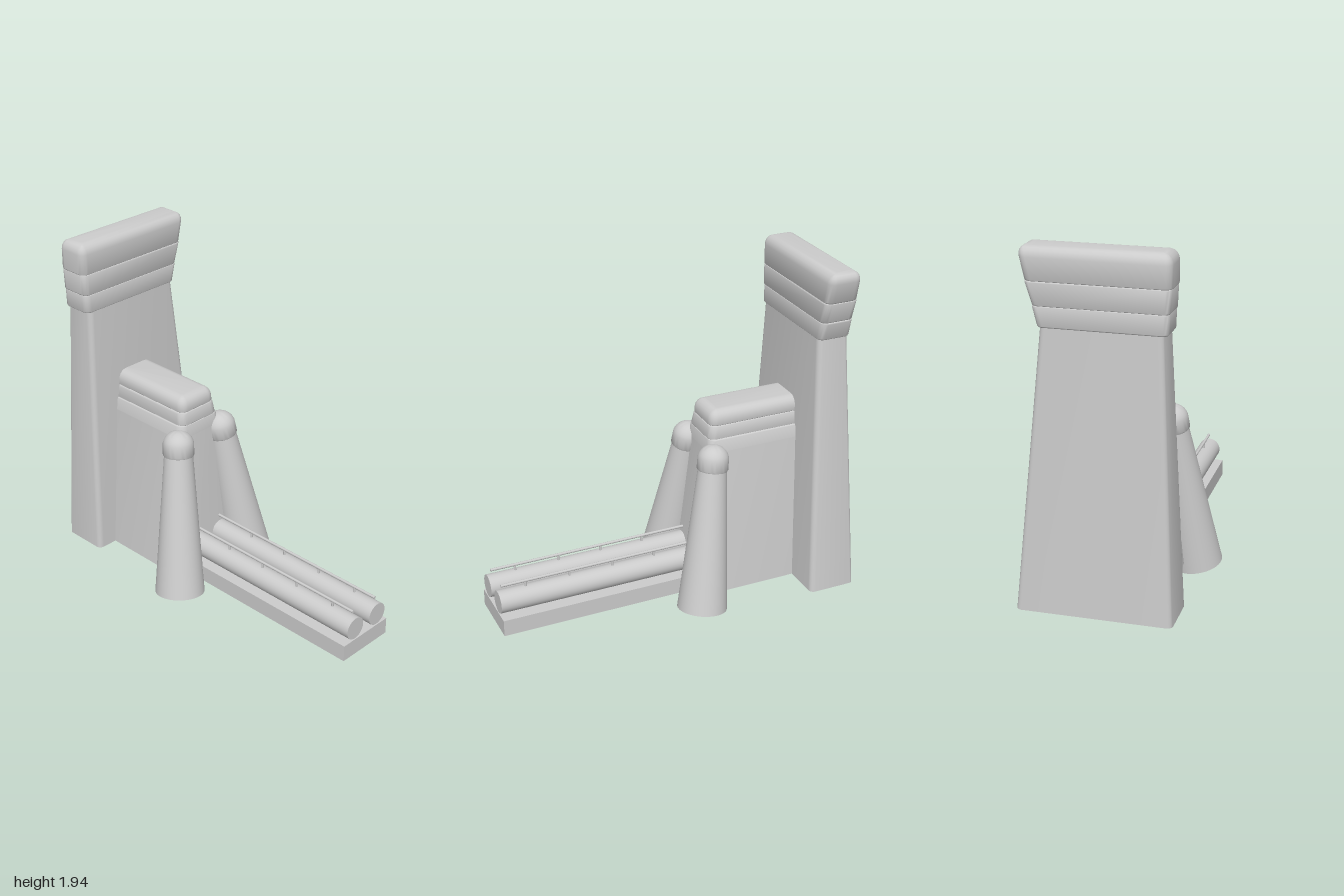
import * as THREE from 'three';
import { toCreasedNormals } from 'three/addons/utils/BufferGeometryUtils.js';

const material = new THREE.MeshStandardMaterial({ color: 0xcccccc });
const MID = -0.0225; // centre line of the keep, pillars and barrels

function add(parent, name, geometry) {
  const mesh = new THREE.Mesh(geometry, material);
  mesh.name = name;
  parent.add(mesh);
  return mesh;
}

// Outline of a rounded rectangle in x and z
function outline([x0, x1, z0, z1], r, steps = 5) {
  const points = [];
  const corners = [[x1 - r, z1 - r], [x0 + r, z1 - r], [x0 + r, z0 + r], [x1 - r, z0 + r]];
  corners.forEach(([cx, cz], k) => {
    for (let i = 0; i <= steps; i++) {
      const a = (k + i / steps) * Math.PI / 2;
      points.push([cx + r * Math.cos(a), cz + r * Math.sin(a)]);
    }
  });
  return points;
}

// Closed solid through rows of { y, rect: [x0, x1, z0, z1], r }
function loft(rows) {
  const pos = [], index = [];
  const rings = rows.map((row) => outline(row.rect, row.r));
  const n = rings[0].length;
  rings.forEach((ring, j) => ring.forEach(([x, z]) => pos.push(x, rows[j].y, z)));
  for (let j = 0; j < rows.length - 1; j++) {
    for (let i = 0; i < n; i++) {
      const a = j * n + i, b = j * n + (i + 1) % n;
      index.push(a, a + n, b, b, a + n, b + n);
    }
  }
  const last = (rows.length - 1) * n;
  for (let i = 1; i < n - 1; i++) {
    index.push(0, i, i + 1, last, last + i + 1, last + i);
  }
  const g = new THREE.BufferGeometry();
  g.setAttribute('position', new THREE.Float32BufferAttribute(pos, 3));
  g.setIndex(index);
  return toCreasedNormals(g, 0.6);
}

// Tapered block with rounded lower and upper rims
function block(y0, y1, low, high, r, rimLow, rimHigh) {
  const rows = [];
  const row = (y, inset) => {
    const t = (y - y0) / (y1 - y0);
    const rect = low.map((v, i) => v + (high[i] - v) * t + (i % 2 ? -inset : inset));
    rows.push({ y, rect, r: Math.max(r - inset, 0.004) });
  };
  const steps = 5;
  for (let i = 0; i < steps && rimLow; i++) {
    const a = i / steps * Math.PI / 2;
    row(y0 + rimLow * (1 - Math.cos(a)), rimLow * (1 - Math.sin(a)));
  }
  row(y0 + rimLow, 0);
  row(y1 - rimHigh, 0);
  for (let i = 1; i <= steps && rimHigh; i++) {
    const a = i / steps * Math.PI / 2;
    row(y1 - rimHigh * (1 - Math.sin(a)), rimHigh * (1 - Math.cos(a)));
  }
  return loft(rows);
}

export function createModel() {
  const model = new THREE.Group();
  model.name = 'fortress';

  // Tall rear tower with a three-band crown that flares to its left
  const tower = new THREE.Group();
  tower.name = 'tower';
  model.add(tower);
  add(tower, 'towerBody', block(0.065, 1.6, [-0.38, 0.436, -1, -0.722], [-0.32, 0.287, -0.95, -0.772], 0.03, 0, 0));
  const zs = [-0.957, -0.767];
  add(tower, 'crownLowerBand', block(1.545, 1.655, [-0.343, 0.305, ...zs], [-0.347, 0.333, ...zs], 0.035, 0.012, 0.012));
  add(tower, 'crownMiddleBand', block(1.65, 1.772, [-0.35, 0.328, ...zs], [-0.356, 0.367, ...zs], 0.035, 0.008, 0.008));
  add(tower, 'crownTop', block(1.77, 1.94, [-0.36, 0.365, ...zs], [-0.36, 0.403, ...zs], 0.04, 0.008, 0.055));

  // Keep in front of the tower
  const keep = new THREE.Group();
  keep.name = 'keep';
  model.add(keep);
  const rect = (half, front) => [MID - half, MID + half, -0.82, front];
  add(keep, 'keepBody', block(0.065, 0.91, rect(0.237, -0.148), rect(0.155, -0.223), 0.045, 0, 0));
  add(keep, 'keepShoulder', block(0.91, 0.985, rect(0.155, -0.223), rect(0.143, -0.229), 0.045, 0, 0.012));
  add(keep, 'keepMiddleBand', block(0.98, 1.06, rect(0.138, -0.228), rect(0.126, -0.24), 0.045, 0.008, 0.015));
  add(keep, 'keepTop', block(1.055, 1.14, rect(0.125, -0.24), rect(0.12, -0.246), 0.045, 0.008, 0.05));

  // Leaning round pillars with domed caps
  const shaftProfile = [[0, 0], [0.14, 0], [0.079, 0.83], [0, 0.83]];
  const capProfile = [[0, 0.812], [0.082, 0.812], [0.087, 0.82], [0.086, 0.885]];
  for (let i = 1; i <= 8; i++) {
    const a = i / 8 * Math.PI / 2;
    capProfile.push([0.018 * (1 - i / 8) + 0.068 * Math.cos(a), 0.885 + 0.07 * Math.sin(a)]);
  }
  const turned = (profile) => toCreasedNormals(
    new THREE.LatheGeometry(profile.map(([x, y]) => new THREE.Vector2(Math.max(x, 0), y)), 40), 0.6);
  const up = new THREE.Vector3(0, 1, 0);
  for (const side of [1, -1]) {
    const pillar = new THREE.Group();
    pillar.name = side > 0 ? 'leftPillar' : 'rightPillar';
    add(pillar, 'pillarShaft', turned(shaftProfile));
    add(pillar, 'pillarCap', turned(capProfile));
    pillar.position.set(MID + side * 0.278, 0.025, -0.126);
    pillar.quaternion.setFromUnitVectors(up, new THREE.Vector3(-side * 0.118, 0.87, -0.113).normalize());
    model.add(pillar);
  }

  // Long base plate carrying two barrels
  const plate = add(model, 'basePlate', new THREE.BoxGeometry(0.345, 0.095, 1.3));
  plate.position.set(MID, 0.1275, 0.35);
  for (const side of [1, -1]) {
    const gun = new THREE.Group();
    gun.name = side > 0 ? 'leftBarrel' : 'rightBarrel';
    gun.position.set(MID + side * 0.088, 0, 0);
    model.add(gun);
    const barrel = add(gun, 'barrel', new THREE.CylinderGeometry(0.0635, 0.0635, 1.3, 32));
    barrel.rotation.x = Math.PI / 2;
    barrel.position.set(0, 0.247, 0.35);
    // Thin rail on short posts above the barrel
    const rail = add(gun, 'rail', new THREE.CylinderGeometry(0.008, 0.008, 1.16, 12));
    rail.rotation.x = Math.PI / 2;
    rail.position.set(0, 0.343, 0.4);
    for (let i = 0; i < 4; i++) {
      const post = add(gun, 'railPost', new THREE.CylinderGeometry(0.007, 0.007, 0.165, 10));
      post.position.set(0, 0.26, 0.84 - i * 0.252);
    }
  }
  return model;
}
